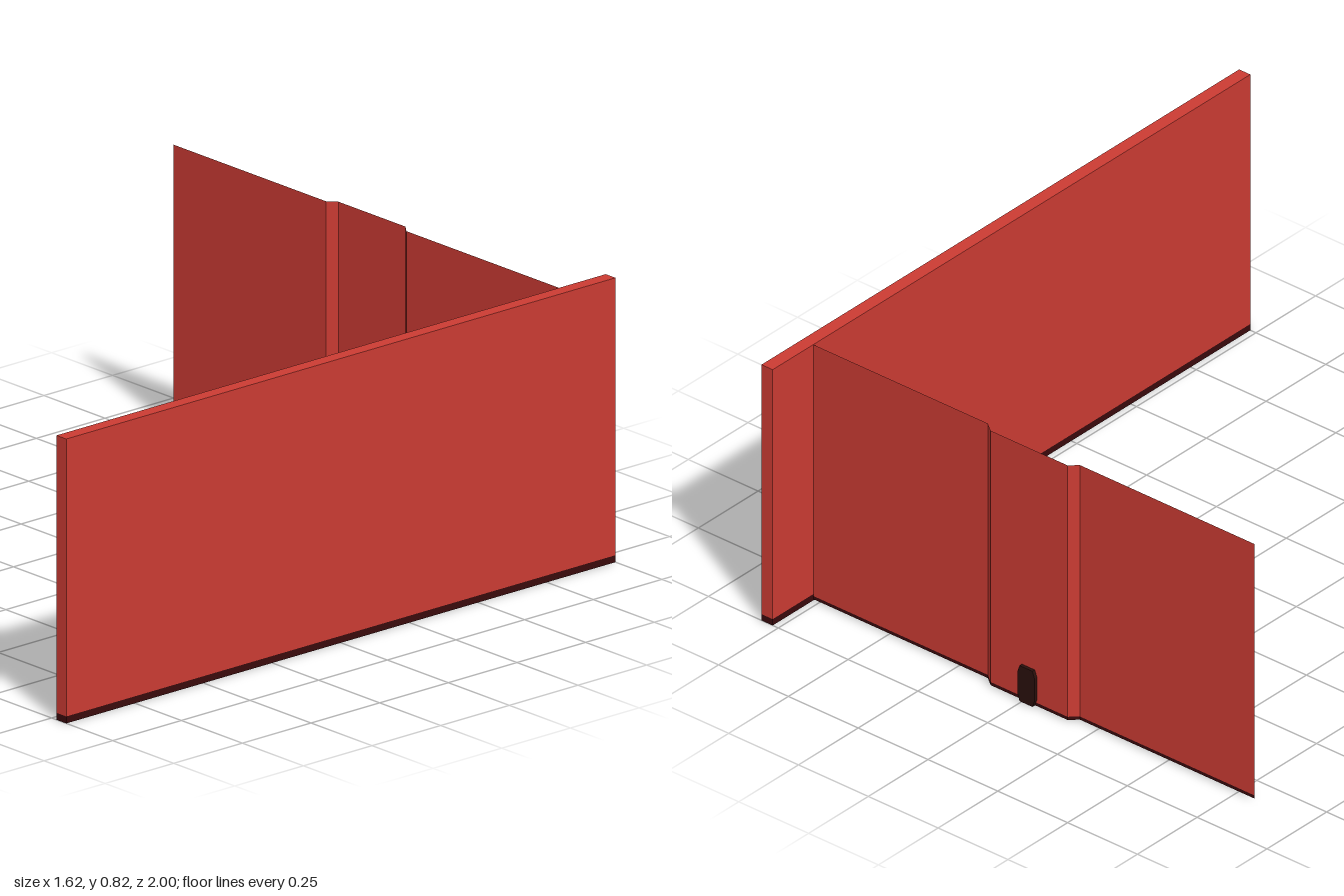
import * as THREE from 'three';

const mat = (color) => new THREE.MeshStandardMaterial({ color, side: THREE.DoubleSide, flatShading: true });

// Plan outline of the thin back wall (x, z): two wings and a recessed bay with slanted folds
const PLAN = [[-0.81, -0.83], [-0.185, -0.83], [-0.16, -0.853], [0.115, -0.853], [0.145, -0.83], [0.77, -0.83]];

// Upright folded sheet following the plan between two heights
function sheet(y0, y1) {
  const pos = [];
  for (let i = 0; i < PLAN.length - 1; i++) {
    const [ax, az] = PLAN[i], [bx, bz] = PLAN[i + 1];
    pos.push(ax, y0, az, bx, y0, bz, bx, y1, bz, ax, y0, az, bx, y1, bz, ax, y1, az);
  }
  const g = new THREE.BufferGeometry();
  g.setAttribute('position', new THREE.Float32BufferAttribute(pos, 3));
  g.computeVertexNormals();
  return g;
}

// Upright plate with cut corners, half width w, half height h
function plateShape(w, h) {
  const c = 0.008, d = 0.022;
  return new THREE.Shape([
    [-w + c, -h], [w - c, -h], [w, -h + d], [w, h - d],
    [w - c, h], [-w + c, h], [-w, h - d], [-w, -h + d],
  ].map(([x, y]) => new THREE.Vector2(x, y)));
}

export function createModel() {
  const root = new THREE.Group();
  const red = mat(0xcc3b33), dark = mat(0x3a0a0c), black = mat(0x2a100c), gold = mat(0xc8a53c);

  const add = (parent, name, geometry, material, x = 0, y = 0, z = 0) => {
    const m = new THREE.Mesh(geometry, material);
    m.name = name;
    m.position.set(x, y, z);
    parent.add(m);
    return m;
  };

  // Thick side wall with dark skirting
  add(root, 'sideWall', new THREE.BoxGeometry(0.04, 0.8, 2), red, 0.79, 0.42, 0);
  add(root, 'sideWallSkirting', new THREE.BoxGeometry(0.04, 0.02, 2), dark, 0.79, 0.01, 0);

  // Thin folded back wall with dark skirting
  add(root, 'backWall', sheet(0.014, 0.82), red);
  add(root, 'backWallSkirting', sheet(0.004, 0.014), dark);

  // Small wall fitting: dark backing, gold rim, dark front panel
  const fitting = new THREE.Group();
  fitting.name = 'wallFitting';
  fitting.position.set(-0.02, 0.06, 0);
  root.add(fitting);
  const extrude = (w, h, depth) => new THREE.ExtrudeGeometry(plateShape(w, h), { depth, bevelEnabled: false });
  add(fitting, 'fittingBacking', extrude(0.031, 0.057, 0.013), black, 0, 0, -0.863);
  add(fitting, 'fittingRim', extrude(0.033, 0.059, 0.016), gold, 0, 0, -0.85);
  add(fitting, 'fittingPanel', extrude(0.031, 0.057, 0.004), black, 0, 0, -0.834);

  return root;
}
